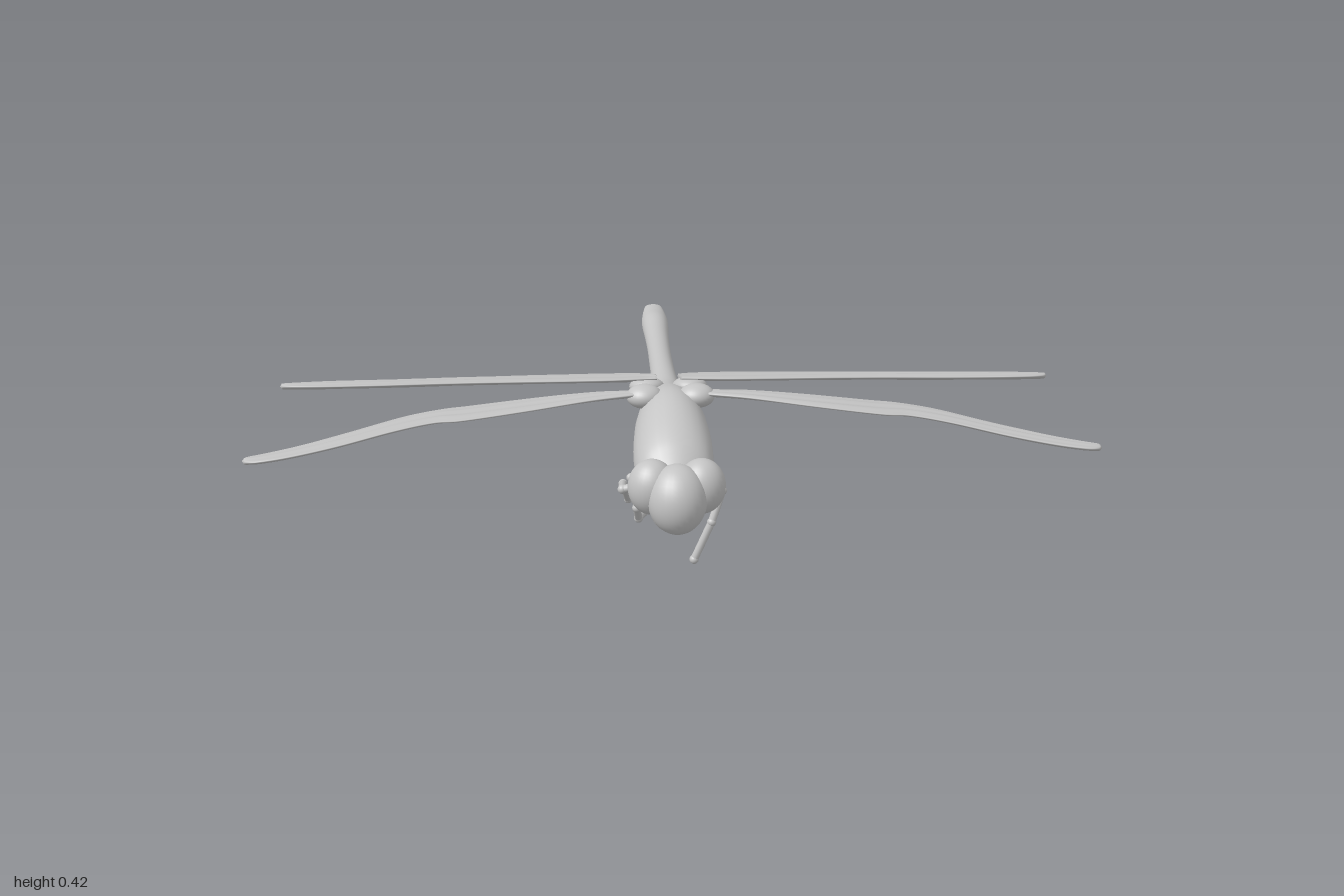
import * as THREE from 'three';

const grey = new THREE.MeshStandardMaterial({ color: 0xc4c4c4 });
grey.name = 'plain grey';

// Closed skin over rings of equal point count, with end caps
function loft(rings) {
  const n = rings[0].length, pos = [], idx = [];
  rings.forEach(r => r.forEach(p => pos.push(...p)));
  for (let i = 0; i < rings.length - 1; i++) {
    for (let j = 0; j < n; j++) {
      const a = i * n + j, b = i * n + (j + 1) % n;
      idx.push(a, b, a + n, b, b + n, a + n);
    }
  }
  const last = (rings.length - 1) * n;
  for (let j = 1; j < n - 1; j++) idx.push(0, j + 1, j, last, last + j, last + j + 1);
  const g = new THREE.BufferGeometry();
  g.setAttribute('position', new THREE.Float32BufferAttribute(pos, 3));
  g.setIndex(idx);
  g.computeVertexNormals();
  return g;
}

const smooth = pts =>
  new THREE.CatmullRomCurve3(pts.map(p => new THREE.Vector3(...p)), false, 'catmullrom', 0.5);

// Thorax and tail: z, bottom, top, half width
const bodySections = [
  [-0.79, 0.268, 0.284, 0.022], [-0.775, 0.261, 0.287, 0.028], [-0.7, 0.243, 0.294, 0.037],
  [-0.62, 0.232, 0.304, 0.04], [-0.5, 0.238, 0.303, 0.036], [-0.35, 0.249, 0.308, 0.033],
  [-0.2, 0.255, 0.318, 0.033], [-0.05, 0.268, 0.33, 0.034], [0.05, 0.268, 0.337, 0.038],
  [0.12, 0.257, 0.345, 0.045], [0.2, 0.238, 0.365, 0.055], [0.3, 0.222, 0.395, 0.072],
  [0.38, 0.205, 0.413, 0.086], [0.45, 0.192, 0.41, 0.094], [0.53, 0.188, 0.385, 0.097],
  [0.59, 0.19, 0.355, 0.092], [0.625, 0.2, 0.325, 0.075], [0.65, 0.22, 0.3, 0.045],
];

function bodyGeometry() {
  const outline = smooth(bodySections.map(s => s.slice(0, 3)));
  const width = smooth(bodySections.map(s => [s[0], s[3], 0]));
  const rings = [];
  for (let i = 0; i <= 100; i++) {
    const p = outline.getPoint(i / 100), w = width.getPoint(i / 100).y;
    rings.push(Array.from({ length: 28 }, (_, j) => {
      const a = j / 28 * Math.PI * 2;
      return [w * Math.cos(a), (p.y + p.z) / 2 + (p.z - p.y) / 2 * Math.sin(a), p.x];
    }));
  }
  return loft(rings);
}

// Wing ribs: distance from the middle, rear z, front z
const foreRibs = [
  [0.03, 0.35, 0.39], [0.1, 0.345, 0.41], [0.2, 0.32, 0.445], [0.35, 0.315, 0.51],
  [0.5, 0.335, 0.555], [0.57, 0.355, 0.552], [0.66, 0.39, 0.595], [0.78, 0.48, 0.665],
  [0.88, 0.56, 0.702], [0.95, 0.61, 0.712], [0.985, 0.64, 0.7], [1, 0.67, 0.676],
];
const hindRibs = [
  [0.03, 0.14, 0.28], [0.06, 0.09, 0.285], [0.1, 0.05, 0.3], [0.17, 0.02, 0.31],
  [0.3, 0.01, 0.29], [0.43, 0.018, 0.265], [0.54, 0.04, 0.255], [0.62, 0.06, 0.258],
  [0.73, 0.07, 0.267], [0.85, 0.083, 0.26], [0.94, 0.115, 0.235], [0.985, 0.145, 0.205],
  [1, 0.17, 0.175],
];
const foreHeight = (x, z, mid) => 0.402 - 0.05 * x + 0.2 * (z - mid);
const hindHeight = (x, z) => 0.327 + 0.29 * (z - 0.02) - 0.012 * x;

function wingGeometry(ribs, height, side) {
  const curve = smooth(ribs), rings = [];
  for (let i = 0; i <= 72; i++) {
    const p = curve.getPoint(i / 72), mid = (p.y + p.z) / 2, half = (p.z - p.y) / 2;
    const x = Math.min(p.x, 1);
    rings.push(Array.from({ length: 40 }, (_, j) => {
      const a = j / 40 * Math.PI * 2, v = -side * Math.cos(a), z = mid + half * v;
      // shallow lengthwise veins fading out at the edges
      const ripple = 0.003 * Math.sin(v * 9 + x * 5) * (1 - v * v) * Math.min(1, half * 12);
      const thick = Math.min(0.008, half * 0.5) * Math.sin(a);
      return [side * x, height(x, z, mid) + ripple + thick, z];
    }));
  }
  return loft(rings);
}

// Jointed legs: hip, knee, shin, foot
const legs = [
  ['leftFrontLeg', [[0.04, 0.21, 0.5], [0.122, 0.185, 0.5], [0.095, 0.11, 0.52], [0.052, 0.012, 0.525]]],
  ['rightFrontLeg', [[-0.04, 0.2, 0.57], [-0.09, 0.165, 0.55], [-0.085, 0.12, 0.51], [-0.07, 0.11, 0.45]]],
  ['leftMiddleLeg', [[0.04, 0.21, 0.46], [0.11, 0.165, 0.4], [0.085, 0.14, 0.34], [0.06, 0.125, 0.4]]],
  ['rightMiddleLeg', [[-0.04, 0.21, 0.5], [-0.124, 0.185, 0.48], [-0.12, 0.15, 0.36], [-0.105, 0.062, 0.255]]],
  ['leftRearLeg', [[0.03, 0.2, 0.57], [0.085, 0.165, 0.54], [0.07, 0.14, 0.46], [0.06, 0.17, 0.37]]],
  ['rightRearLeg', [[-0.03, 0.21, 0.44], [-0.1, 0.17, 0.37], [-0.085, 0.135, 0.35], [-0.06, 0.14, 0.42]]],
];

export function createModel() {
  const model = new THREE.Group();
  model.name = 'dragonfly';
  const add = (name, geometry) => {
    const m = new THREE.Mesh(geometry, grey);
    m.name = name;
    model.add(m);
    return m;
  };
  const ball = (name, [x, y, z], [rx, ry, rz], tilt = 0) => {
    const m = add(name, new THREE.SphereGeometry(1, 28, 20));
    m.position.set(x, y, z);
    m.scale.set(rx, ry, rz);
    m.rotation.x = tilt;
    return m;
  };

  add('body', bodyGeometry());

  // Head
  ball('face', [0, 0.258, 0.718], [0.07, 0.083, 0.07], -0.25);
  ball('jaw', [0, 0.215, 0.685], [0.062, 0.05, 0.06], 0.3);
  ball('chest', [0, 0.2, 0.56], [0.05, 0.03, 0.06]);

  for (const [label, s] of [['left', 1], ['right', -1]]) {
    ball(label + 'Eye', [s * 0.058, 0.277, 0.686], [0.057, 0.067, 0.055]);
    // Wings and the swellings they grow from
    add(label + 'ForeWing', wingGeometry(foreRibs, foreHeight, s));
    add(label + 'HindWing', wingGeometry(hindRibs, hindHeight, s));
    ball(label + 'ForeWingRoot', [s * 0.065, 0.392, 0.38], [0.045, 0.03, 0.04]);
    ball(label + 'HindWingRoot', [s * 0.055, 0.372, 0.25], [0.045, 0.025, 0.055], -0.28);
  }

  // Legs with rounded joints
  for (const [name, pts] of legs) {
    const path = new THREE.CurvePath();
    const v = pts.map(p => new THREE.Vector3(...p));
    for (let i = 0; i < 3; i++) path.add(new THREE.LineCurve3(v[i], v[i + 1]));
    add(name, new THREE.TubeGeometry(path, 30, 0.01, 10));
    pts.slice(1).forEach((p, i) => ball(name + 'Joint' + (i + 1), p, [0.0115, 0.0115, 0.0115]));
  }
  return model;
}
